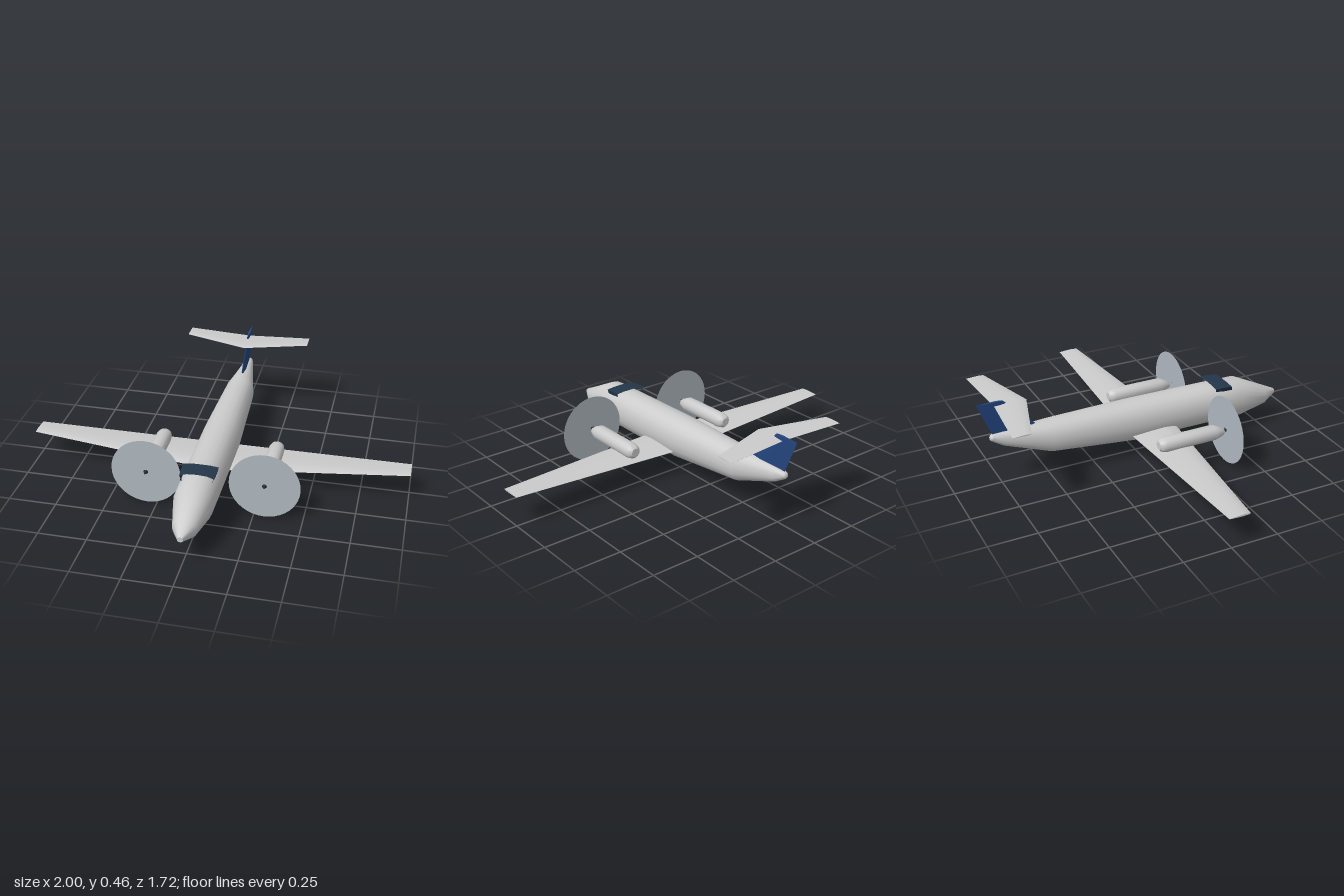
import * as THREE from 'three';
import { toCreasedNormals } from 'three/addons/utils/BufferGeometryUtils.js';

const mat = (color, side = THREE.FrontSide) => new THREE.MeshStandardMaterial({ color, side });
const grey = mat(0xcccccc);
const blue = mat(0x23457f);
const glass = mat(0x24364a, THREE.DoubleSide);
const dark = mat(0x20262d);
const discGrey = mat(0xb0b8c0, THREE.DoubleSide);

// Closed skin through rings of points; each ring runs counter-clockwise seen from the start.
function loft(rings, crease = 0.7) {
  const n = rings[0].length;
  const pos = rings.flat(2);
  const idx = [];
  for (let i = 0; i < rings.length - 1; i++) {
    for (let j = 0; j < n; j++) {
      const a = i * n + j, b = i * n + (j + 1) % n;
      idx.push(a, a + n, b, b, a + n, b + n);
    }
  }
  const last = (rings.length - 1) * n;
  for (let j = 1; j < n - 1; j++) {
    idx.push(0, j, j + 1, last, last + j + 1, last + j);
  }
  const geo = new THREE.BufferGeometry();
  geo.setAttribute('position', new THREE.Float32BufferAttribute(pos, 3));
  geo.setIndex(idx);
  return toCreasedNormals(geo, crease);
}

// Body rings from front to back: [z, bottom, top, half width], slightly squared ellipses.
function body(sections, sides, power = 0.9) {
  const soft = (v) => Math.sign(v) * Math.abs(v) ** power;
  return loft(sections.map(([z, y0, y1, w]) =>
    Array.from({ length: sides }, (_, j) => {
      const a = (j / sides) * Math.PI * 2;
      return [w * soft(Math.cos(a)), (y0 + y1) / 2 + ((y1 - y0) / 2) * soft(Math.sin(a)), z];
    })));
}

// Airfoil outline: [chord fraction from the leading edge, half thickness fraction]
const upper = [[1, 0.06], [0.65, 0.65], [0.3, 1], [0.08, 0.6], [0, 0]];
const airfoil = [...upper, ...upper.slice(0, 4).reverse().map(([c, t]) => [c, -t])];

// Wing sections from +x to -x: [x, y, leading z, trailing z, thickness]
const wing = (sections) => loft(sections.map(([x, y, lead, trail, t]) =>
  airfoil.map(([c, v]) => [x, y + v * t / 2, lead + (trail - lead) * c])));

// Fin sections from top to bottom: [y, leading z, trailing z, thickness]
const fin = (sections) => loft(sections.map(([y, lead, trail, t]) =>
  airfoil.map(([c, v]) => [-v * t / 2, y, lead + (trail - lead) * c])));

function windscreen() {
  // Half rows from the middle outward, mirrored across x
  const rows = [
    [[0, 0.308, 0.435], [0.05, 0.307, 0.435], [0.088, 0.302, 0.435], [0.084, 0.285, 0.44]],
    [[0, 0.308, 0.49], [0.05, 0.307, 0.49], [0.088, 0.301, 0.49], [0.082, 0.277, 0.49]],
    [[0, 0.307, 0.528], [0.05, 0.305, 0.53], [0.085, 0.297, 0.535], [0.072, 0.27, 0.545]],
  ].map((r) => [...r.slice(1).reverse().map(([x, y, z]) => [-x, y, z]), ...r]);
  const n = rows[0].length;
  const idx = [];
  for (let i = 0; i < rows.length - 1; i++) {
    for (let j = 0; j < n - 1; j++) {
      const a = i * n + j;
      idx.push(a, a + n, a + 1, a + 1, a + n, a + n + 1);
    }
  }
  const geo = new THREE.BufferGeometry();
  geo.setAttribute('position', new THREE.Float32BufferAttribute(rows.flat(2), 3));
  geo.setIndex(idx);
  return toCreasedNormals(geo, 0.6);
}

export function createModel() {
  const model = new THREE.Group();
  model.name = 'propellerAirliner';
  const add = (name, geo, material, x = 0, y = 0, z = 0, parent = model) => {
    const mesh = new THREE.Mesh(geo, material);
    mesh.name = name;
    mesh.position.set(x, y, z);
    parent.add(mesh);
    return mesh;
  };

  add('fuselage', body([
    [0.86, 0.15, 0.178, 0.014],
    [0.775, 0.11, 0.218, 0.06],
    [0.61, 0.08, 0.298, 0.098],
    [0.4, 0.08, 0.302, 0.1],
    [-0.03, 0.08, 0.306, 0.1],
    [-0.49, 0.127, 0.299, 0.08],
    [-0.6, 0.167, 0.297, 0.056],
    [-0.73, 0.214, 0.293, 0.032],
    [-0.785, 0.248, 0.288, 0.018],
  ], 20), grey);
  add('tailCone', new THREE.SphereGeometry(0.02, 12, 8), grey, 0, 0.268, -0.78);
  add('windscreen', windscreen(), glass);

  // Flying surfaces
  add('wing', wing([
    [1, 0.164, 0.095, -0.018, 0.01],
    [0.1, 0.139, 0.2, -0.055, 0.03],
    [-0.1, 0.139, 0.2, -0.055, 0.03],
    [-1, 0.164, 0.095, -0.018, 0.01],
  ]), grey);
  add('tailplane', wing([
    [0.345, 0.442, -0.7, -0.795, 0.007],
    [0, 0.44, -0.597, -0.765, 0.014],
    [-0.345, 0.442, -0.7, -0.795, 0.007],
  ]), grey);
  add('fin', fin([
    [0.462, -0.72, -0.855, 0.014],
    [0.285, -0.545, -0.783, 0.02],
  ]), blue);

  // Engines with propeller discs
  const nacelle = body([
    [0.358, 0.162, 0.19, 0.018],
    [0.345, 0.156, 0.202, 0.026],
    [0.3, 0.145, 0.223, 0.041],
    [0.02, 0.145, 0.223, 0.041],
    [-0.005, 0.15, 0.217, 0.035],
    [-0.017, 0.162, 0.206, 0.022],
  ], 14);
  const disc = new THREE.CircleGeometry(0.18, 40);
  const spinner = new THREE.ConeGeometry(0.012, 0.024, 12).rotateX(Math.PI / 2);
  for (const [side, x] of [['left', 0.303], ['right', -0.303]]) {
    const engine = new THREE.Group();
    engine.name = side + 'Engine';
    engine.position.x = x;
    model.add(engine);
    add('nacelle', nacelle, grey, 0, 0, 0, engine);
    add('propellerDisc', disc, discGrey, 0, 0.182, 0.372, engine);
    add('spinner', spinner, dark, 0, 0.182, 0.384, engine);
  }

  // Landing gear: wheels face forward on thin flat legs
  const gear = (name, x, y, z, r, top) => {
    const leg = new THREE.Group();
    leg.name = name;
    model.add(leg);
    add('wheel', new THREE.CylinderGeometry(r, r, 0.013, 20).rotateX(Math.PI / 2), dark, x, y, z, leg);
    add('strut', new THREE.BoxGeometry(0.008, top - y, 0.002), grey, x, (top + y) / 2, z, leg);
  };
  gear('noseGear', 0, 0.043, 0.56, 0.027, 0.09);
  gear('leftMainGear', 0.303, 0.049, 0.175, 0.033, 0.15);
  gear('rightMainGear', -0.303, 0.049, 0.175, 0.033, 0.15);

  return model;
}
